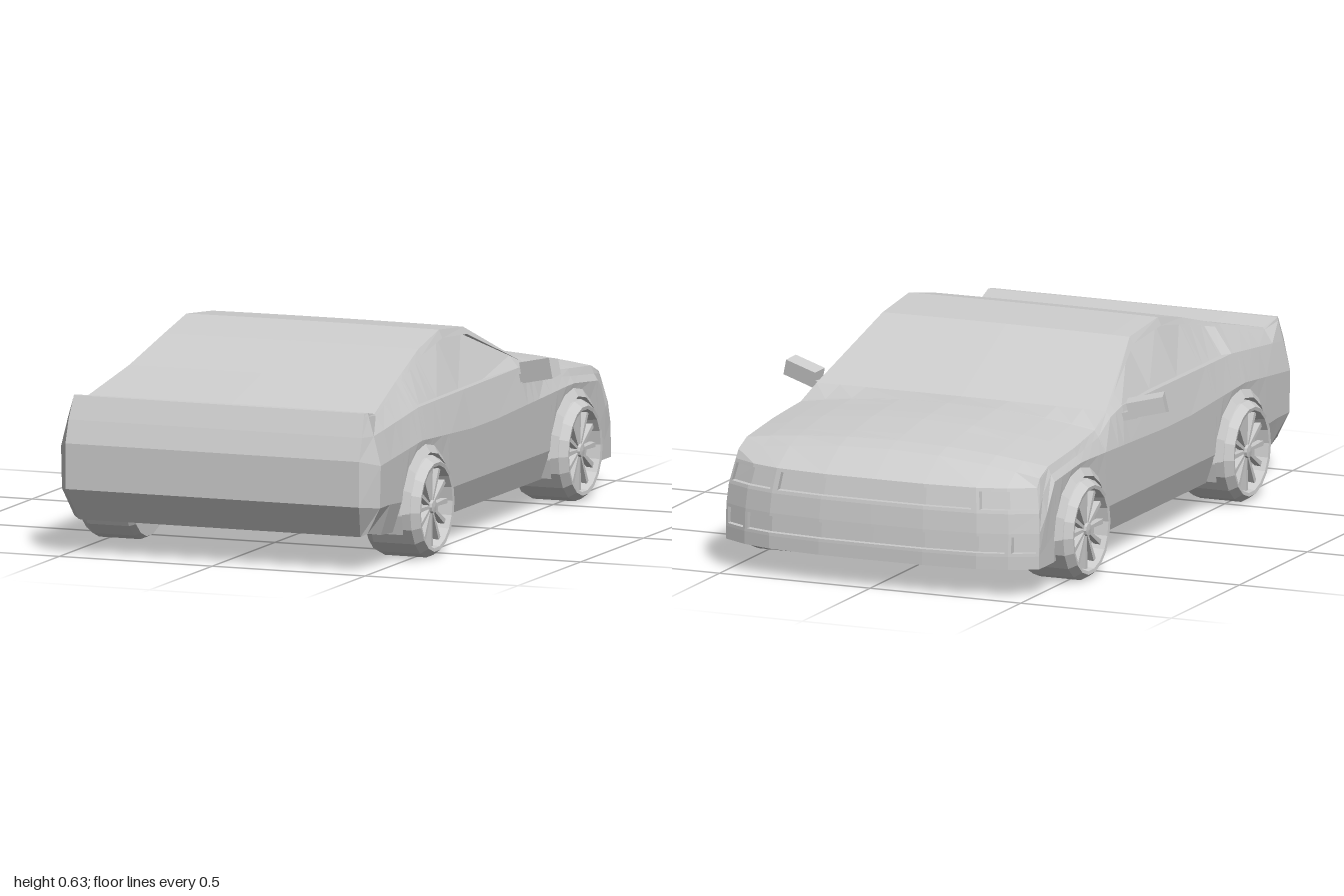
import * as THREE from 'three';

const paint = new THREE.MeshStandardMaterial({ color: 0xcccccc, flatShading: true, side: THREE.DoubleSide });
paint.name = 'plain grey';

// Body lines as [z, value], tail (+z) to nose (-z)
const sillX = [[0.93, 0.48], [0.85, 0.49], [-0.43, 0.49], [-0.8, 0.52]];
const sillY = [[0.93, 0.12], [0.85, 0.105], [0.6, 0.09]];
const creaseY = [[0.85, 0.2], [0.56, 0.18], [-0.8, 0.18], [-0.86, 0.15]];
const flankY = [[0.93, 0.33], [0.6, 0.36], [0.2, 0.34], [0, 0.34], [-0.6, 0.36], [-0.8, 0.34], [-0.86, 0.25]];
const beltX = [[0.85, 0.5], [0.56, 0.495], [-0.33, 0.495], [-0.6, 0.51]];
const beltY = [[0.93, 0.42], [0.56, 0.455], [-0.24, 0.46], [-0.33, 0.44], [-0.43, 0.4], [-0.8, 0.36], [-0.86, 0.31]];
const roofX = [[0.93, 0.48], [0.6, 0.435], [0.37, 0.415], [0, 0.41], [-0.33, 0.48], [-0.6, 0.5]];
const roofY = [[0.93, 0.49], [0.85, 0.475], [0.6, 0.535], [0.37, 0.6], [0.2, 0.635], [0, 0.615],
  [-0.33, 0.458], [-0.43, 0.42], [-0.8, 0.385], [-0.86, 0.36]];
const crown = [[-0.33, 0.002], [-0.43, 0.04], [-0.6, 0.045], [-0.8, 0.035], [-0.86, 0.045]];
const windowInset = [[0.56, 0], [0.53, 0.02], [0, 0.02], [-0.29, 0]];

const STATIONS = [0.93, 0.85, 0.6, 0.56, 0.53, 0.37, 0.2, 0, -0.24, -0.29, -0.33, -0.43, -0.8, -0.86];
const ACROSS = [0.84, 0.66, 0.33, 0];
const AXLES = [0.57, -0.61], AXLE_Y = 0.155, ARCH = 0.186;
const mix = (a, b, t) => a.map((v, i) => THREE.MathUtils.lerp(v, b[i], t));

// Value of a body line at z
function at(line, z) {
  const next = line.findIndex(p => z >= p[0]);
  if (next === 0) return line[0][1];
  if (next < 0) return line[line.length - 1][1];
  const a = line[next - 1], b = line[next];
  return THREE.MathUtils.lerp(a[1], b[1], (a[0] - z) / (a[0] - b[0]));
}

// Half section running from the sill, up the side and over to the centre line
function section(z) {
  let sx = at(sillX, z), sy = at(sillY, z), cy = at(creaseY, z);
  for (const axle of AXLES) {
    const d = Math.abs(z - axle);
    if (d < ARCH - 0.001) {
      sx = 0.52;
      sy = AXLE_Y + Math.sqrt(ARCH * ARCH - d * d);
      cy = Math.max(cy, sy);
    }
  }
  const inset = at(windowInset, z), tx = at(roofX, z), ty = at(roofY, z), rise = at(crown, z);
  const belt = [at(beltX, z), at(beltY, z), z], top = [tx, ty, z], frame = mix(top, belt, 0.14);
  return [[sx, sy, z], [0.52, cy, z], [0.523, at(flankY, z), z], belt,
    [belt[0] - inset, belt[1], z], [frame[0] - inset, frame[1], z], frame, top,
    ...ACROSS.map(t => [tx * t, ty + rise * (1 - t * t), z])];
}

// Curved nose column at a fraction t of the half width, rows bottom to top
const noseZ = t => -1 + 0.09 * t ** 4;
const noseColumn = t => [[0.52, 0.09, 0], [0.52, 0.13, 0], [0.52, 0.2, 0.005], [0.515, 0.26, 0.012], [0.5, 0.335, 0.03]]
  .map(([x, y, back]) => [x * t, y, noseZ(t) + back]);

function addMesh(parent, geometry, name) {
  const m = new THREE.Mesh(geometry, paint);
  m.name = name;
  parent.add(m);
  return m;
}

function quadGeometry(quads) {
  const pos = [];
  for (const [a, b, c, d] of quads) pos.push(...a, ...b, ...c, ...a, ...c, ...d);
  const g = new THREE.BufferGeometry();
  g.setAttribute('position', new THREE.Float32BufferAttribute(pos, 3));
  g.computeVertexNormals();
  return g;
}
const flip = p => [-p[0], p[1], p[2]];
const mirrored = quads => [...quads, ...quads.map(q => q.map(flip).reverse())];

function bodyShell() {
  const zs = [...STATIONS];
  for (const a of AXLES) {
    zs.push(a);
    for (const d of [0.06, 0.13, 0.18, ARCH]) zs.push(a + d, a - d);
  }
  zs.sort((a, b) => b - a);

  // Tail ring with a chamfered outline
  const belt = [0.48, 0.42, 0.975], top = [0.475, 0.49, 0.945], frame = mix(top, belt, 0.14);
  const tail = [[0.46, 0.11, 0.94], [0.48, 0.21, 1], [0.48, 0.35, 1], belt, belt, frame, frame, top,
    ...ACROSS.map(t => [top[0] * t, top[1], top[2]])];
  // Nose ring joins the outermost nose column and the hood's leading edge
  const n = noseColumn(1), lip = mix(n[4], n[3], 0.14);
  const nose = [n[0], n[1], n[2], n[3], n[3], lip, lip, n[4], ...ACROSS.map(t => noseColumn(t)[4])];

  const rings = [tail, ...zs.map(section), nose], quads = [];
  for (let i = 1; i < rings.length; i++) {
    const a = rings[i - 1], b = rings[i];
    for (let j = 0; j < a.length - 1; j++) quads.push([a[j], b[j], b[j + 1], a[j + 1]]);
  }
  // Tail panel
  const centre = p => [0, p[1], p[2]];
  for (let j = 0; j < 7; j++) quads.push([centre(tail[j]), tail[j], tail[j + 1], centre(tail[j + 1])]);
  return quadGeometry(mirrored(quads));
}

// Nose panel with sunken lamps, grille and intakes
function noseFace() {
  const cols = [1, ...ACROSS, -0.33, -0.66, -0.84, -1].map(noseColumn), quads = [];
  const sunk = [[0, 2, 3], [2, 6, 3], [6, 8, 3], [0, 1, 1], [1, 7, 1], [7, 8, 1]]; // first column, last column, row
  for (let i = 0; i < 8; i++) for (const r of [0, 2]) {
    quads.push([cols[i][r], cols[i + 1][r], cols[i + 1][r + 1], cols[i][r + 1]]);
  }
  for (const [a, b, r] of sunk) {
    const last = b - a, span = cols.slice(a, b + 1);
    const lo = span.map(c => c[r]), hi = span.map(c => c[r + 1]);
    const pull = line => line.map((p, k) =>
      k === 0 ? mix(p, line[1], 0.1) : k === last ? mix(p, line[last - 1], 0.1) : p);
    const p = pull(lo), q = pull(hi);
    const rimLo = p.map((v, k) => mix(v, q[k], 0.14)), rimHi = q.map((v, k) => mix(v, p[k], 0.14));
    const deep = line => line.map(v => [v[0], v[1], v[2] + 0.02]);
    const rows = [lo, rimLo, deep(rimLo), deep(rimHi), rimHi, hi];
    for (let s = 0; s < 5; s++) for (let k = 0; k < last; k++) {
      quads.push([rows[s][k], rows[s][k + 1], rows[s + 1][k + 1], rows[s + 1][k]]);
    }
    for (const s of [0, 1]) {
      const u = rows[s], v = rows[s + 1], w = rows[4 - s], x = rows[5 - s];
      quads.push([u[0], v[0], w[0], x[0]], [v[last], u[last], x[last], w[last]]);
    }
  }
  return quadGeometry(quads);
}

// Underside notched around the wheels
function floorPan() {
  const half = [[0.46, 0.94], [0.48, 0.93], [0.49, 0.85]];
  for (const a of AXLES) {
    const front = a - ARCH, rear = a + ARCH;
    half.push([at(sillX, rear), rear], [0.37, rear], [0.37, front], [at(sillX, front), front]);
  }
  half.push([0.52, -0.86], ...[1, 0.84, 0.66, 0.33].map(t => [0.52 * t, noseZ(t)]));
  const outline = [...half, [0, -1], ...half.map(([x, z]) => [-x, z]).reverse()];
  const g = new THREE.ShapeGeometry(new THREE.Shape(outline.map(p => new THREE.Vector2(...p))));
  g.rotateX(Math.PI / 2);
  const p = g.attributes.position;
  for (let i = 0; i < p.count; i++) p.setY(i, at(sillY, p.getZ(i)));
  g.computeVertexNormals();
  return g;
}

// Wheel, arch lip and wheel well for the +x side
function wheelSet() {
  const set = new THREE.Group();
  const turned = (pts, segs, start, len) =>
    new THREE.LatheGeometry(pts.map(p => new THREE.Vector2(...p)), segs, start, len).rotateZ(-Math.PI / 2);
  addMesh(set, turned([[0, 0.38], [0.145, 0.38], [0.155, 0.4], [0.155, 0.535], [0.137, 0.56],
    [0.126, 0.558], [0.12, 0.515], [0, 0.515]], 18), 'tyreAndRim');
  addMesh(set, turned([[0.024, 0.515], [0.02, 0.55], [0, 0.552]], 10), 'hub');
  for (let i = 0; i < 12; i++) {
    const g = new THREE.BoxGeometry(0.02, 0.108, 0.016);
    const p = g.attributes.position;
    for (let k = 0; k < p.count; k++) if (p.getY(k) < 0) p.setZ(k, p.getZ(k) * 0.5);
    addMesh(set, g.translate(0.532, 0.07, 0).rotateX(i * Math.PI / 6), 'spoke');
  }
  addMesh(set, turned([[0.165, 0.5], [0.165, 0.537], [0.195, 0.517]], 8, Math.PI, Math.PI), 'archLip');
  const sweep = Math.PI + 0.7;
  addMesh(set, new THREE.CylinderGeometry(ARCH, ARCH, 0.15, 12, 1, true, -0.35, sweep)
    .rotateZ(Math.PI / 2).translate(0.445, 0, 0), 'wellLiner');
  addMesh(set, new THREE.CircleGeometry(ARCH, 14, -0.35, sweep)
    .rotateY(Math.PI / 2).translate(0.37, 0, 0), 'wellWall');
  return set;
}

function doorMirror(side) {
  const group = new THREE.Group();
  group.name = side > 0 ? 'leftMirror' : 'rightMirror';
  const housing = new THREE.BoxGeometry(0.115, 0.064, 0.045);
  const p = housing.attributes.position;
  for (let i = 0; i < p.count; i++) if (p.getZ(i) < 0) p.setY(i, p.getY(i) * 0.75);
  addMesh(group, housing, 'mirrorHousing').position.set(0.57 * side, 0.46, -0.225);
  addMesh(group, new THREE.BoxGeometry(0.06, 0.025, 0.03), 'mirrorArm').position.set(0.51 * side, 0.43, -0.24);
  for (const m of group.children) m.rotation.set(0, -0.25 * side, 0.22 * side);
  return group;
}

export function createModel() {
  const car = new THREE.Group();
  car.name = 'car';
  addMesh(car, bodyShell(), 'bodyShell');
  addMesh(car, noseFace(), 'noseFace');
  addMesh(car, floorPan(), 'floorPan');
  for (const side of [1, -1]) {
    car.add(doorMirror(side));
    for (const z of AXLES) {
      const w = wheelSet();
      w.name = (z > 0 ? 'rear' : 'front') + (side > 0 ? 'Left' : 'Right') + 'Wheel';
      w.position.set(0, AXLE_Y, z);
      if (side < 0) w.rotation.y = Math.PI;
      car.add(w);
    }
  }
  return car;
}
